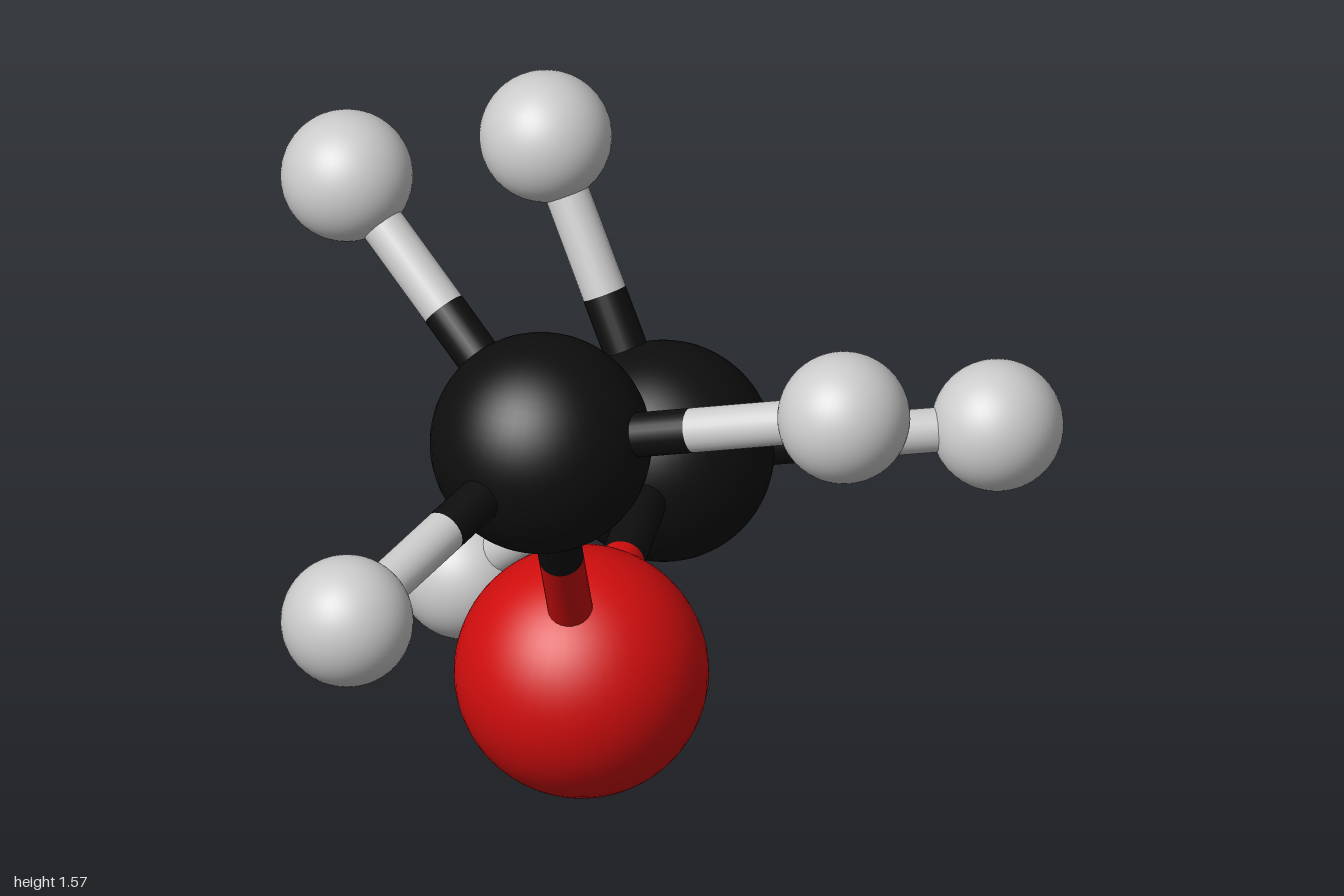
import * as THREE from 'three';

const red = new THREE.MeshStandardMaterial({ color: 0xd00d0d });
const black = new THREE.MeshStandardMaterial({ color: 0x0e0e0e });
const grey = new THREE.MeshStandardMaterial({ color: 0xcccccc });

const BOND_RADIUS = 0.037;
const UP = new THREE.Vector3(0, 1, 0);

// A ball at a position
function makeAtom(name, position, radius, material) {
  const mesh = new THREE.Mesh(new THREE.SphereGeometry(radius, 48, 32), material);
  mesh.name = name;
  mesh.position.set(...position);
  return { mesh, material };
}

// A stick between two balls, each half in the colour of its own ball
function makeBond(name, a, b) {
  const bond = new THREE.Group();
  bond.name = name;
  const start = a.mesh.position;
  const span = b.mesh.position.clone().sub(start);
  const half = span.length() / 2;
  [a, b].forEach((atom, i) => {
    const stick = new THREE.Mesh(
      new THREE.CylinderGeometry(BOND_RADIUS, BOND_RADIUS, half, 24), atom.material);
    stick.name = i === 0 ? 'innerHalf' : 'outerHalf';
    stick.position.y = half * (i + 0.5);
    bond.add(stick);
  });
  bond.position.copy(start);
  bond.quaternion.setFromUnitVectors(UP, span.normalize());
  return bond;
}

export function createModel() {
  const model = new THREE.Group();
  model.name = 'molecule';

  // Central oxygen
  const oxygen = makeAtom('oxygen', [-0.08, 0.483, 0.027], 0.209, red);
  model.add(oxygen.mesh);

  // Two methyl groups: a carbon carrying three hydrogens
  const methyls = [
    { name: 'upperMethyl', carbon: [-0.08, 1.12, 0.391],
      hydrogens: [[-0.445, 1.46, 0.166], [0.442, 1.276, 0.485], [-0.31, 1.043, 0.891]] },
    { name: 'rearMethyl', carbon: [-0.08, 0.483, -0.708],
      hydrogens: [[-0.31, 0.95, -0.891], [0.442, 0.483, -0.891], [-0.445, 0.11, -0.891]] },
  ];
  for (const { name, carbon, hydrogens } of methyls) {
    const methyl = new THREE.Group();
    methyl.name = name;
    const c = makeAtom('carbon', carbon, 0.182, black);
    methyl.add(c.mesh, makeBond('oxygenBond', oxygen, c));
    hydrogens.forEach((position, i) => {
      const h = makeAtom(`hydrogen${i + 1}`, position, 0.109, grey);
      methyl.add(h.mesh, makeBond(`hydrogenBond${i + 1}`, c, h));
    });
    model.add(methyl);
  }
  return model;
}
